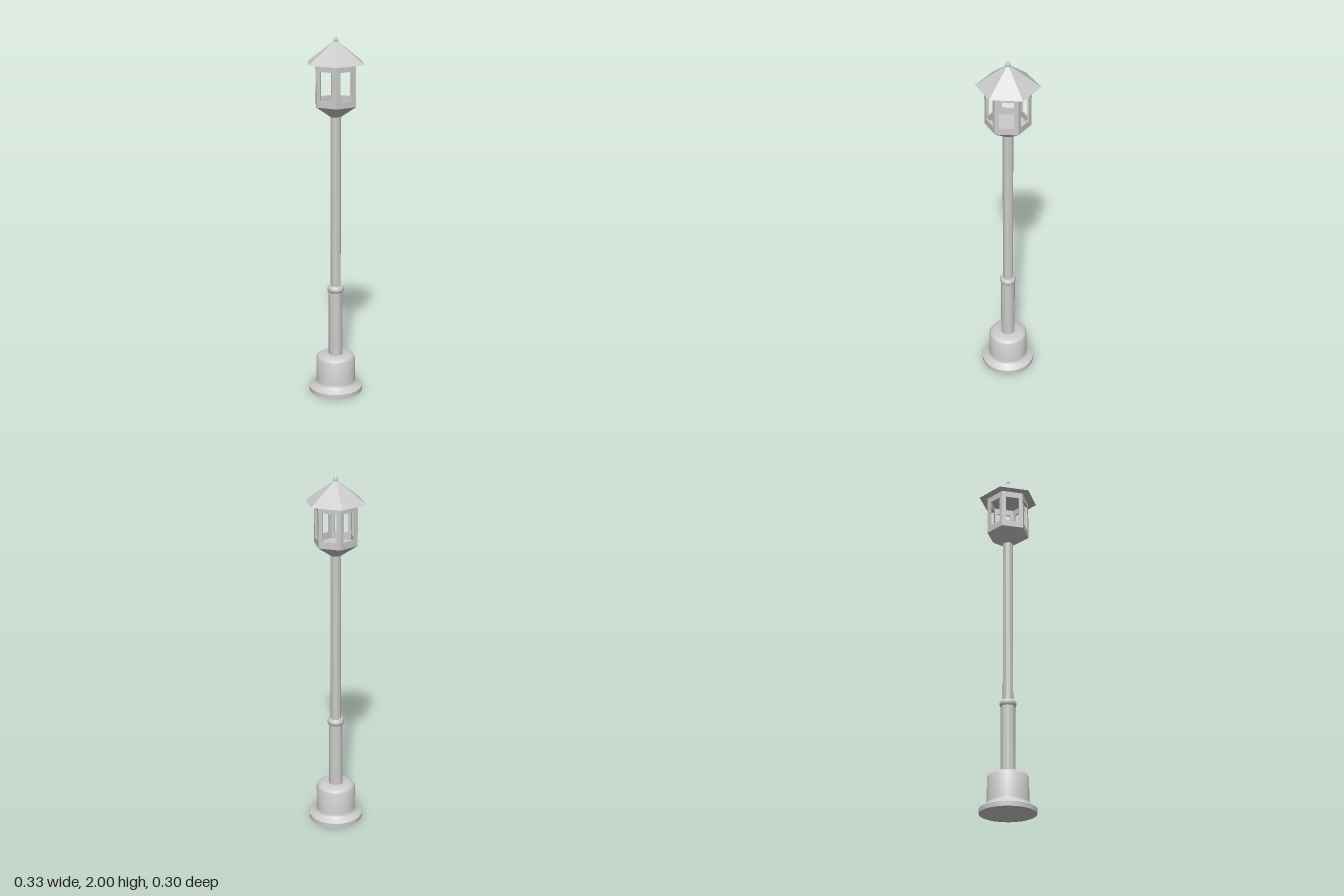
import * as THREE from 'three';
import { toCreasedNormals } from 'three/addons/utils/BufferGeometryUtils.js';

const smooth = new THREE.MeshStandardMaterial({ color: 0xcccccc });
const faceted = new THREE.MeshStandardMaterial({ color: 0xcccccc, flatShading: true });

export function createModel() {
  const group = new THREE.Group();

  const add = (name, geometry, material, y = 0) => {
    const mesh = new THREE.Mesh(geometry, material);
    mesh.name = name;
    mesh.position.y = y;
    group.add(mesh);
    return mesh;
  };

  // Round part turned from [radius, height] points, listed bottom to top
  const turned = (name, profile, sides = 24) => {
    const points = profile.map(([r, y]) => new THREE.Vector2(r, y));
    add(name, toCreasedNormals(new THREE.LatheGeometry(points, sides), 0.6), smooth);
  };

  // Six-sided part with corners on the x axis
  const hexagonal = (name, rTop, rBottom, y0, y1) =>
    add(name, new THREE.CylinderGeometry(rTop, rBottom, y1 - y0, 6, 1, false, Math.PI / 2),
      faceted, (y0 + y1) / 2);

  // Flared base and post
  turned('base', [[0, 0], [0.15, 0], [0.15, 0.025], [0.122, 0.04], [0.112, 0.05], [0.109, 0.065],
    [0.109, 0.192], [0.102, 0.204], [0.082, 0.214], [0, 0.214]]);
  turned('lowerColumn', [[0.039, 0.21], [0.039, 0.59]]);
  turned('collar', [[0.038, 0.583], [0.044, 0.59], [0.046, 0.6], [0.044, 0.61], [0.037, 0.619], [0, 0.619]]);
  turned('pole', [[0.028, 0.61], [0.028, 1.58]]);

  // Lantern floor tapering into the pole
  hexagonal('lanternFunnel', 0.12, 0.03, 1.567, 1.628);

  // Six wall panels, each with a window opening
  const radius = 0.12, thickness = 0.01, bottom = 1.628, top = 1.855;
  const wall = new THREE.Shape([[-0.06, bottom], [0.06, bottom], [0.06, top], [-0.06, top]]
    .map(p => new THREE.Vector2(...p)));
  wall.holes.push(new THREE.Path([[-0.038, 1.665], [-0.038, 1.817], [0.038, 1.817], [0.038, 1.665]]
    .map(p => new THREE.Vector2(...p))));
  const panel = new THREE.ExtrudeGeometry(wall, { depth: thickness, bevelEnabled: false });
  // Mitre the outer edges so that neighbouring panels meet at the corners
  const pos = panel.attributes.position;
  for (let i = 0; i < pos.count; i++) {
    if (Math.abs(pos.getX(i)) > 0.05 && pos.getZ(i) < thickness / 2) {
      pos.setX(i, Math.sign(pos.getX(i)) * (0.06 - thickness * Math.tan(Math.PI / 6)));
    }
  }
  panel.translate(0, 0, radius * Math.cos(Math.PI / 6) - thickness);
  for (let i = 0; i < 6; i++) add('windowPanel', panel, faceted).rotation.y = i * Math.PI / 3;

  // Overhanging roof and pointed finial
  hexagonal('roof', 0, 0.167, 1.852, 1.975);
  turned('finial', [[0.009, 1.955], [0.012, 1.966], [0.012, 1.976], [0.009, 1.984], [0.005, 1.991], [0, 2]], 12);

  return group;
}
